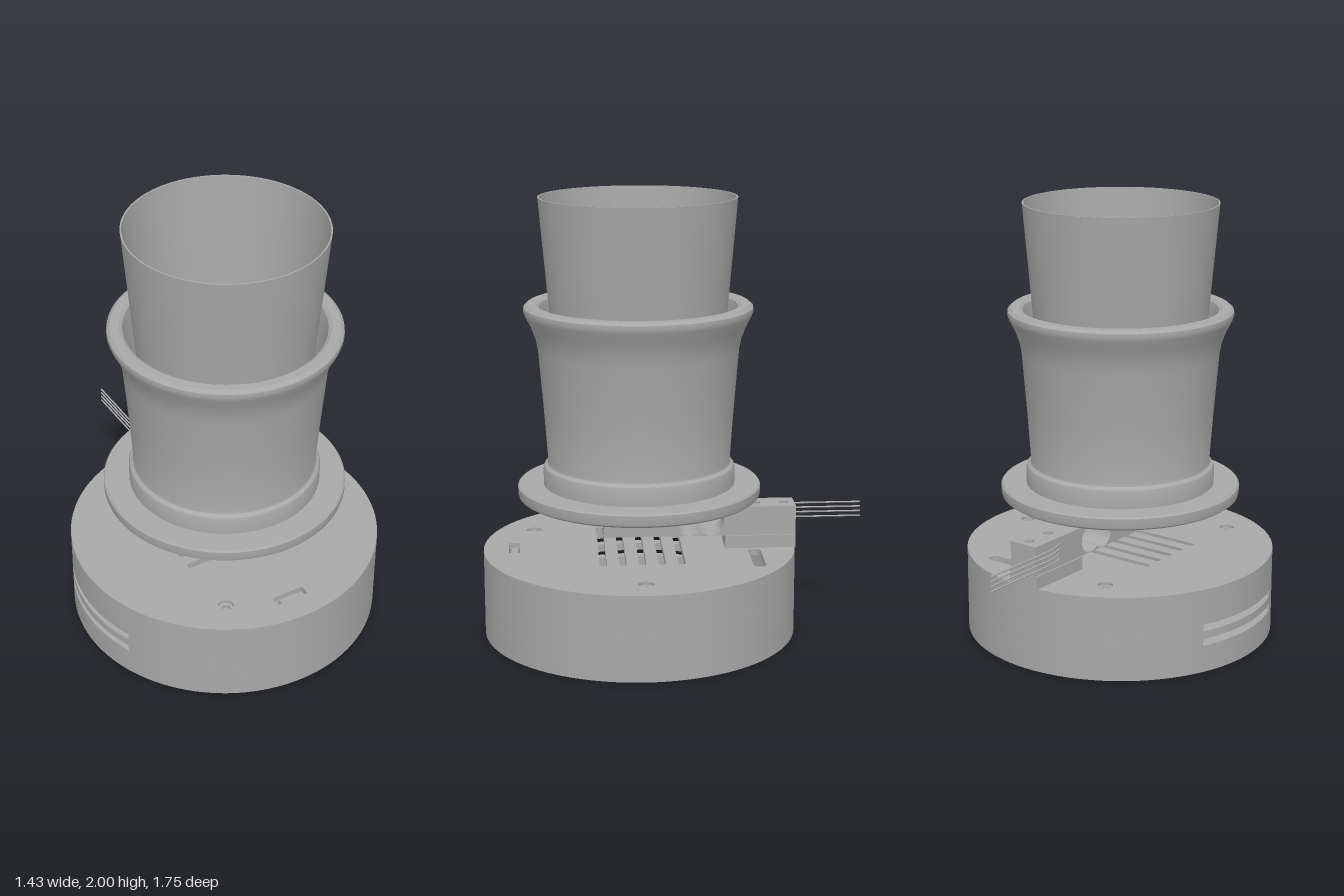
import * as THREE from 'three';
import { toCreasedNormals } from 'three/addons/utils/BufferGeometryUtils.js';

const AXIS_Z = 0.16; // the round parts share this vertical axis
const R = 0.715;

export function createModel() {
  const model = new THREE.Group();
  const grey = new THREE.MeshStandardMaterial({ color: 0xa8a8a8 });
  grey.name = 'grey';

  function add(parent, name, geo, x = 0, y = 0, z = 0) {
    const mesh = new THREE.Mesh(toCreasedNormals(geo, 0.5), grey);
    mesh.name = name;
    mesh.position.set(x, y, z);
    parent.add(mesh);
    return mesh;
  }
  function box(parent, name, x0, x1, y0, y1, z0, z1) {
    return add(parent, name, new THREE.BoxGeometry(x1 - x0, y1 - y0, z1 - z0),
      (x0 + x1) / 2, (y0 + y1) / 2, (z0 + z1) / 2);
  }
  // Horizontal plate: shape y runs towards -z
  function plate(shape, height, curveSegments = 48) {
    return new THREE.ExtrudeGeometry(shape, { depth: height, bevelEnabled: false, curveSegments })
      .rotateX(-Math.PI / 2);
  }
  function lathe(parent, name, points) {
    const pts = points.map(([r, y]) => new THREE.Vector2(r, y));
    return add(parent, name, new THREE.LatheGeometry(pts, 96));
  }
  function disc(r) {
    const s = new THREE.Shape();
    s.absarc(0, 0, r, 0, Math.PI * 2, false);
    return s;
  }
  function roundHole(x, z, r) {
    const p = new THREE.Path();
    p.absarc(x, -z, r, 0, Math.PI * 2, true);
    return p;
  }
  // Rounded slot between two points
  function slot(x0, z0, x1, z1, r) {
    const a = Math.atan2(-(z1 - z0), x1 - x0);
    const p = new THREE.Path();
    p.absarc(x1, -z1, r, a - Math.PI / 2, a + Math.PI / 2, false);
    p.absarc(x0, -z0, r, a + Math.PI / 2, a + Math.PI * 1.5, false);
    p.closePath();
    return p;
  }

  // Round parts
  const round = new THREE.Group();
  round.name = 'roundParts';
  round.position.z = AXIS_Z;
  model.add(round);

  const screws = [0, 1, 2].map(i => {
    const a = i * Math.PI * 2 / 3;
    return [0.56 * Math.cos(a), 0.56 * Math.sin(a)];
  });

  // Base floor with screw holes and hanging slots
  const floor = disc(R);
  screws.forEach(([x, z]) => floor.holes.push(roundHole(x, z, 0.018)));
  for (const x of [0.15, 0.35]) floor.holes.push(slot(x, 0, x, 0.12, 0.015));
  add(round, 'baseFloor', plate(floor, 0.03));

  // Base wall in bands, two of them open on the -x side
  function wallBand(y0, y1, gap) {
    const s = new THREE.Shape();
    if (gap) {
      s.absarc(0, 0, R, -Math.PI + gap, Math.PI - gap, false);
      s.absarc(0, 0, R - 0.05, Math.PI - gap, -Math.PI + gap, true);
      s.closePath();
    } else {
      s.absarc(0, 0, R, 0, Math.PI * 2, false);
      s.holes.push(roundHole(0, 0, R - 0.05));
    }
    add(round, 'baseWall', plate(s, y1 - y0), 0, y0);
  }
  wallBand(0.03, 0.125, 0);
  wallBand(0.125, 0.157, 0.39);
  wallBand(0.157, 0.193, 0);
  wallBand(0.193, 0.225, 0.39);
  wallBand(0.225, 0.36, 0);

  // Base lid: vents, cable slot, port opening and countersunk screw holes
  function lidLayer(y0, y1, screwRadius) {
    const s = disc(R);
    screws.forEach(([x, z]) => s.holes.push(roundHole(x, z, screwRadius)));
    for (let i = -2; i <= 2; i++) s.holes.push(slot(-0.28, i * 0.088, 0.28, i * 0.088, 0.016));
    s.holes.push(slot(0.12, -0.52, 0.325, -0.52, 0.028));
    s.holes.push(new THREE.Path([[-0.078, -0.6], [-0.078, -0.55], [0.078, -0.55], [0.078, -0.6]]
      .map(([x, y]) => new THREE.Vector2(x, y))));
    add(round, 'baseLid', plate(s, y1 - y0), 0, y0);
  }
  lidLayer(0.36, 0.375, 0.02);
  lidLayer(0.375, 0.39, 0.035);
  box(round, 'portSocket', -0.05, 0.05, 0.33, 0.375, 0.56, 0.59);

  // Platform with a shallow conical underside
  lathe(round, 'platform', [
    [0, 0.596], [0.19, 0.602], [0.50, 0.634], [0.535, 0.636], [0.548, 0.645],
    [0.552, 0.66], [0.552, 0.692], [0.545, 0.7], [0, 0.7],
  ]);
  box(round, 'platformMount', -0.07, 0.07, 0.585, 0.61, -0.19, 0.195);
  for (let i = 0; i < 8; i++) {
    const a = (i + 0.5) * Math.PI / 4;
    add(round, 'platformScrew', new THREE.CylinderGeometry(0.025, 0.025, 0.008, 20),
      0.42 * Math.cos(a), 0.626, 0.42 * Math.sin(a));
  }

  // Flared holder
  lathe(round, 'holder', [
    [0.435, 0.7], [0.435, 0.77], [0.43, 0.785], [0.416, 0.797], [0.413, 0.81],
    [0.43, 1.05], [0.452, 1.32], [0.462, 1.37], [0.482, 1.425], [0.508, 1.475],
    [0.515, 1.495], [0.513, 1.512], [0.498, 1.525], [0.46, 1.525], [0.445, 1.515],
    [0.438, 1.49], [0.425, 1.3], [0.395, 0.8], [0.395, 0.7],
  ]);

  // Thin tapered cup, open at the top
  lathe(round, 'cup', [
    [0, 0.705], [0.33, 0.705], [0.443, 2], [0.436, 2], [0.323, 0.72], [0, 0.72],
  ]);

  // Sensor beam: front part with a twin bore across it
  const side = new THREE.Shape([[-0.3, 0.45], [0.325, 0.45], [0.325, 0.585], [-0.3, 0.585]]
    .map(([z, y]) => new THREE.Vector2(-z, y)));
  const bore = new THREE.Path();
  const half = Math.acos(0.045 / 0.065);
  bore.absarc(0.16, 0.516, 0.065, -Math.PI + half, Math.PI - half, false);
  bore.absarc(0.07, 0.516, 0.065, half, Math.PI * 2 - half, false);
  bore.closePath();
  side.holes.push(bore);
  add(model, 'beamFront', new THREE.ExtrudeGeometry(side,
    { depth: 0.14, bevelEnabled: false, curveSegments: 32 })
    .rotateY(Math.PI / 2), -0.072);

  // Rear part of the beam with two vertical bolt holes
  const rear = new THREE.Shape([[-0.072, 0.3], [0.068, 0.3], [0.068, 0.555], [-0.072, 0.555]]
    .map(([x, y]) => new THREE.Vector2(x, y)));
  for (const z of [-0.375, -0.507]) rear.holes.push(roundHole(0, z, 0.022));
  add(model, 'beamRear', plate(rear, 0.135, 20), 0, 0.45);
  box(model, 'beamPost', -0.08, 0.075, 0.388, 0.45, -0.555, -0.23);

  // Four wires leaving the side of the beam
  for (const y of [0.485, 0.508, 0.53, 0.552]) {
    const path = new THREE.CatmullRomCurve3([
      [-0.068, -0.38], [-0.082, -0.42], [-0.092, -0.47], [-0.094, -0.55], [-0.094, -0.7], [-0.094, -0.88],
    ].map(([x, z]) => new THREE.Vector3(x, y, z)));
    add(model, 'wire', new THREE.TubeGeometry(path, 24, 0.004, 8));
    add(model, 'wireEnd', new THREE.CircleGeometry(0.004, 8).rotateY(Math.PI), -0.094, y, -0.88);
  }
  return model;
}
